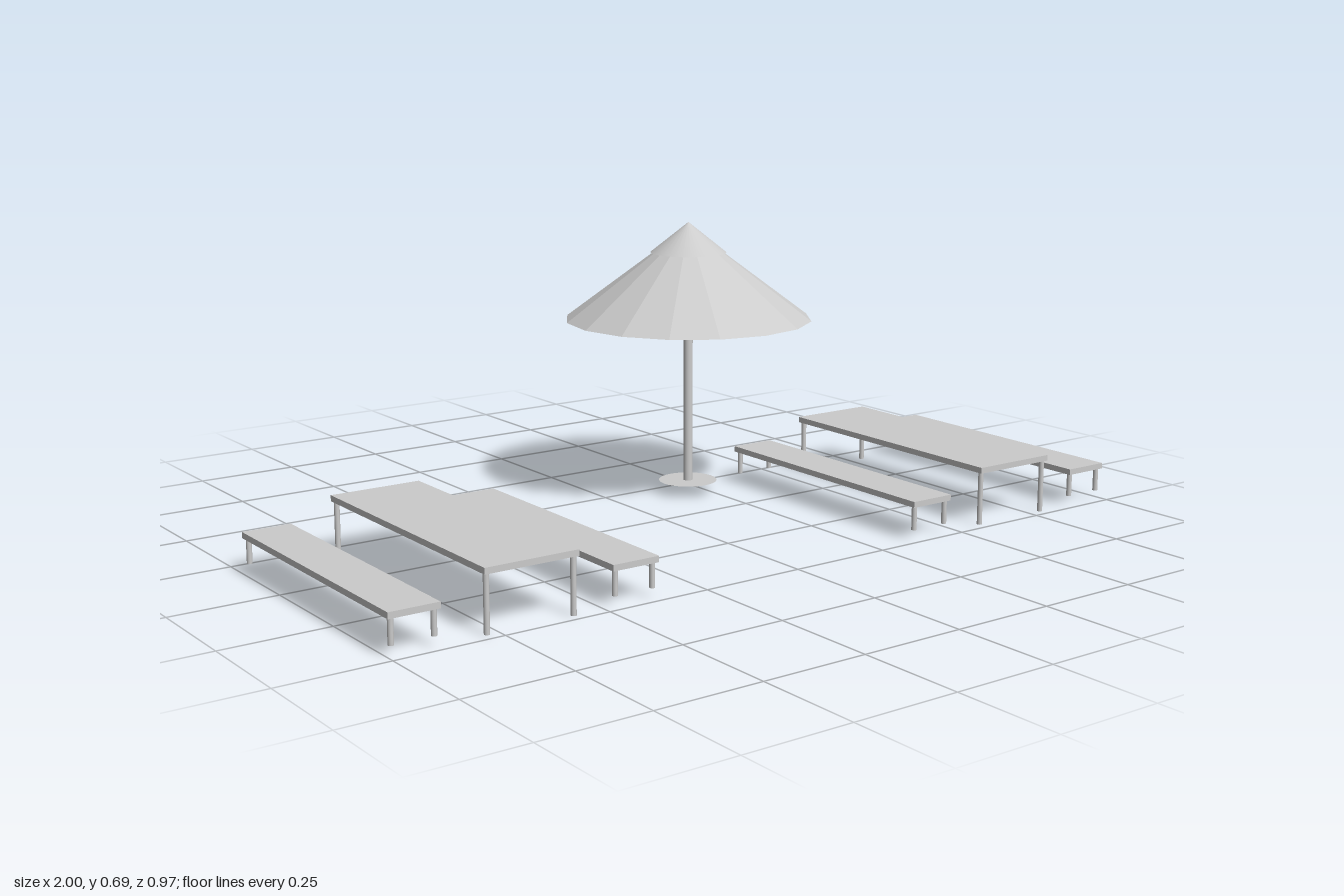
import * as THREE from 'three';

const smooth = new THREE.MeshStandardMaterial({ color: 0xcccccc, side: THREE.DoubleSide });
const flat = new THREE.MeshStandardMaterial({ color: 0xcccccc, side: THREE.DoubleSide, flatShading: true });

function part(name, geometry, x, y, z, material = smooth) {
  const mesh = new THREE.Mesh(geometry, material);
  mesh.name = name;
  mesh.position.set(x, y, z);
  return mesh;
}

// Long slab on four corner legs, used for tables and benches
function slabOnLegs(name, width, top, bottom, legX) {
  const group = new THREE.Group();
  group.name = name;
  const thickness = 0.014, length = 0.677;
  group.add(part('top', new THREE.BoxGeometry(width, thickness, length), 0, top - thickness / 2, 0));
  const legHeight = top - thickness - bottom;
  for (const sx of [-1, 1]) for (const sz of [-1, 1]) {
    const leg = new THREE.CylinderGeometry(0.0063, 0.0063, legHeight, 12);
    group.add(part('leg', leg, sx * legX, bottom + legHeight / 2, sz * 0.328));
  }
  return group;
}

// One table with a bench on each side
function picnicSet(offset) {
  const set = new THREE.Group();
  set.name = 'picnicSet';
  const table = slabOnLegs('table', 0.222, 0.141, 0, 0.102);
  const benchA = slabOnLegs('benchRight', 0.115, 0.092, 0.022, 0.047);
  const benchB = slabOnLegs('benchLeft', 0.115, 0.092, 0.022, 0.047);
  table.position.x = -0.672;
  benchA.position.x = -0.94;
  benchB.position.x = -0.42;
  for (const item of [table, benchA, benchB]) {
    item.position.z = 0.146;
    item.rotation.y = -0.008; // slightly askew
    set.add(item);
  }
  set.position.x = offset;
  return set;
}

function parasol() {
  const group = new THREE.Group();
  group.name = 'parasol';
  const base = new THREE.CircleGeometry(0.073, 32).rotateX(-Math.PI / 2);
  group.add(part('base', base, 0, 0.031, 0));
  group.add(part('pole', new THREE.CylinderGeometry(0.0115, 0.0115, 0.43, 20), 0, 0.246, 0));
  // Sixteen-panel canopy, open at the top beneath the vent cap
  const canopy = new THREE.CylinderGeometry(0.075, 0.307, 0.174, 16, 1, true);
  group.add(part('canopy', canopy, 0, 0.532, 0, flat));
  const cap = new THREE.ConeGeometry(0.094, 0.075, 32, 1, true);
  group.add(part('ventCap', cap, 0, 0.648, 0));
  group.position.set(0.204, 0, -0.179);
  return group;
}

export function createModel() {
  const model = new THREE.Group();
  model.name = 'picnicArea';
  model.add(picnicSet(0), picnicSet(1.36), parasol());
  return model;
}
